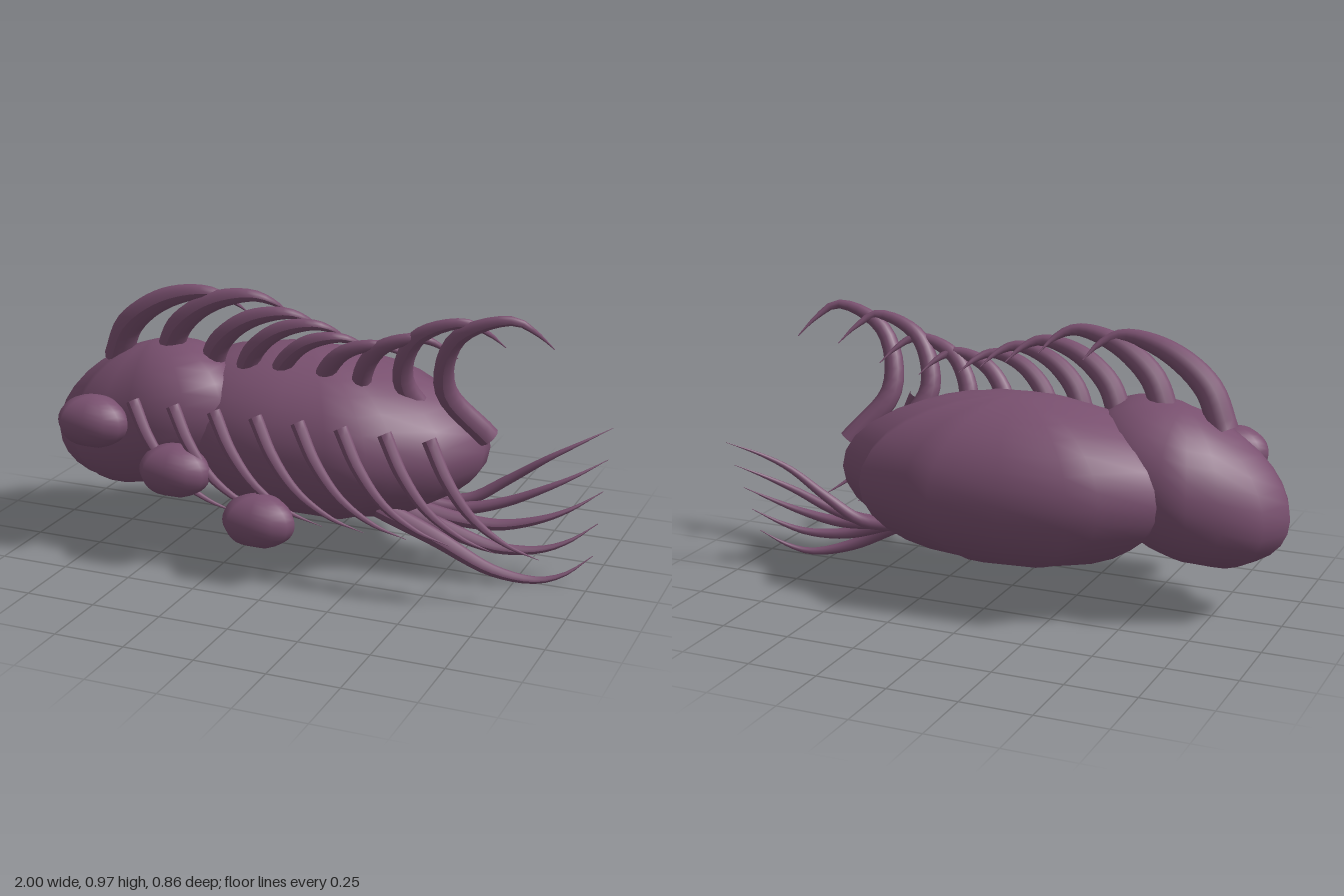
import * as THREE from 'three';
import { mergeVertices } from 'three/addons/utils/BufferGeometryUtils.js';

const purple = new THREE.MeshStandardMaterial({ color: 0x79506f });
purple.name = 'dusky purple';

const lerp = THREE.MathUtils.lerp;

function addMesh(parent, name, geometry) {
  const mesh = new THREE.Mesh(geometry, purple);
  mesh.name = name;
  parent.add(mesh);
  return mesh;
}

// Rounded shell with a faceted plan outline ([x, z], from -x through +z), sheared by slope
function shell(outline, [cx, cy, cz], ry, slope) {
  const n = outline.length;
  let g = new THREE.SphereGeometry(1, n, 16);
  const p = g.attributes.position;
  for (let i = 0; i < p.count; i++) {
    const [ox, oz] = outline[(i % (n + 1)) % n];
    const y = p.getY(i);
    const r = Math.sqrt(Math.max(0, 1 - y * y));
    const dx = (ox - cx) * r;
    p.setXYZ(i, cx + dx, cy + ry * y + slope * dx, cz + (oz - cz) * r);
  }
  g.deleteAttribute('uv');
  g.deleteAttribute('normal');
  g = mergeVertices(g, 1e-4);
  g.computeVertexNormals();
  return g;
}

// Curved horn whose radius shrinks from root to tip
function horn(points, radius, power = 1) {
  const curve = new THREE.CatmullRomCurve3(points.map((q) => new THREE.Vector3(...q)));
  const steps = 22, sides = 10;
  const g = new THREE.TubeGeometry(curve, steps, radius, sides, false);
  const p = g.attributes.position;
  const v = new THREE.Vector3();
  for (let i = 0; i < p.count; i++) {
    const t = Math.floor(i / (sides + 1)) / steps;
    const c = curve.getPointAt(t);
    v.fromBufferAttribute(p, i).sub(c).multiplyScalar(Math.max(0.04, 1 - Math.pow(t, power))).add(c);
    p.setXYZ(i, v.x, v.y, v.z);
  }
  g.computeVertexNormals();
  return g;
}

export function createModel() {
  const model = new THREE.Group();
  model.name = 'spinedCreature';

  // Main body and head
  addMesh(model, 'body', shell([
    [-0.64, -0.05], [-0.58, 0.1], [-0.42, 0.2], [-0.27, 0.26], [-0.05, 0.29], [0.15, 0.28], [0.3, 0.28],
    [0.37, 0.2], [0.53, 0.12], [0.6, -0.08], [0.6, -0.15], [0.47, -0.24], [0.44, -0.33],
    [0.25, -0.36], [0.13, -0.43], [-0.12, -0.415], [-0.37, -0.4], [-0.45, -0.33], [-0.62, -0.24],
  ], [-0.05, 0.435, -0.07], 0.302, -0.02));
  addMesh(model, 'head', shell([
    [-1, 0.05], [-0.98, 0.11], [-0.9, 0.16], [-0.85, 0.235], [-0.72, 0.265], [-0.6, 0.28], [-0.5, 0.31],
    [-0.38, 0.28], [-0.27, 0.21], [-0.26, 0.08], [-0.3, -0.06], [-0.4, -0.17], [-0.5, -0.22],
    [-0.62, -0.235], [-0.72, -0.23], [-0.82, -0.17], [-0.95, -0.1],
  ], [-0.62, 0.46, 0.04], 0.265, 0.25));

  // Row of three boxy bulbs along the front flank
  const bulbs = new THREE.Group();
  bulbs.name = 'bulbs';
  model.add(bulbs);
  const bulbShape = shell([
    [-0.133, 0], [-0.122, 0.04], [-0.085, 0.088], [0, 0.09], [0.085, 0.088], [0.122, 0.04],
    [0.133, 0], [0.11, -0.04], [0.07, -0.08], [0, -0.088], [-0.07, -0.08], [-0.115, -0.04],
  ], [0, 0, 0], 0.094, 0);
  for (let i = 0; i < 3; i++) {
    addMesh(bulbs, 'bulb', bulbShape).position.set(-0.705 + 0.317 * i, 0.5 - 0.14 * i, 0.335);
  }

  // Crest of hooked spines, placed by [peak x, peak y] with roots drifting rearward
  const crest = new THREE.Group();
  crest.name = 'crestSpines';
  model.add(crest);
  const peaks = [[-0.37, 0.94], [-0.2, 0.945], [-0.07, 0.895], [0.03, 0.865], [0.12, 0.83],
    [0.27, 0.82], [0.42, 0.86], [0.58, 0.93], [0.74, 0.955]];
  // Offsets from the peak for the first, middle and last spine
  const first = [[-0.39, -0.29, 0.045], [-0.32, -0.15, 0.075], [-0.17, -0.04, 0.09], [0, 0, 0.09], [0.07, -0.03, 0.055], [0.11, -0.08, 0.005]];
  const middle = [[-0.25, -0.22, 0.055], [-0.2, -0.11, 0.085], [-0.11, -0.03, 0.1], [0, 0, 0.095], [0.05, -0.02, 0.055], [0.09, -0.06, 0.005]];
  const last = [[-0.12, -0.465, -0.055], [-0.25, -0.28, 0.035], [-0.19, -0.08, 0.095], [0, 0, 0.1], [0.07, -0.05, 0.05], [0.115, -0.11, 0]];
  peaks.forEach(([px, py], i) => {
    const s = i / 4;
    const [a, b, t] = s <= 1 ? [first, middle, s] : [middle, last, s - 1];
    const pts = a.map((q, k) => [px + lerp(q[0], b[k][0], t), py + lerp(q[1], b[k][1], t), lerp(q[2], b[k][2], t)]);
    addMesh(crest, 'crestSpine', horn(pts, s <= 1 ? lerp(0.052, 0.036, s) : lerp(0.036, 0.041, t), 2));
  });

  // Slim ribs sweeping down the front flank
  const ribs = new THREE.Group();
  ribs.name = 'flankRibs';
  model.add(ribs);
  for (let i = 0; i < 8; i++) {
    const x = -0.56 + 0.156 * i;
    addMesh(ribs, 'flankRib', horn([
      [x, 0.585, 0.315], [x + 0.07, 0.46, 0.337], [x + 0.155, 0.34, 0.325],
      [x + 0.255, 0.24, 0.268], [x + 0.35, 0.17, 0.19],
    ], 0.025, 1.5));
  }

  // Tail tentacles fanning out from under the rear
  const tail = new THREE.Group();
  tail.name = 'tailTentacles';
  model.add(tail);
  const low = [[0.28, 0.235, 0.1], [0.48, 0.15, 0.085], [0.68, 0.045, 0.05], [0.83, 0.014, 0.002], [0.92, 0.04, -0.03], [1, 0.1, -0.08]];
  const high = [[0.4, 0.21, -0.115], [0.53, 0.22, -0.145], [0.66, 0.3, -0.168], [0.8, 0.395, -0.185], [0.9, 0.45, -0.225], [1, 0.5, -0.29]];
  for (let i = 0; i < 5; i++) {
    const pts = low.map((q, k) => q.map((c, j) => lerp(c, high[k][j], i / 4)));
    addMesh(tail, 'tailTentacle', horn(pts, 0.036 - 0.003 * i, 1.5));
  }

  return model;
}
